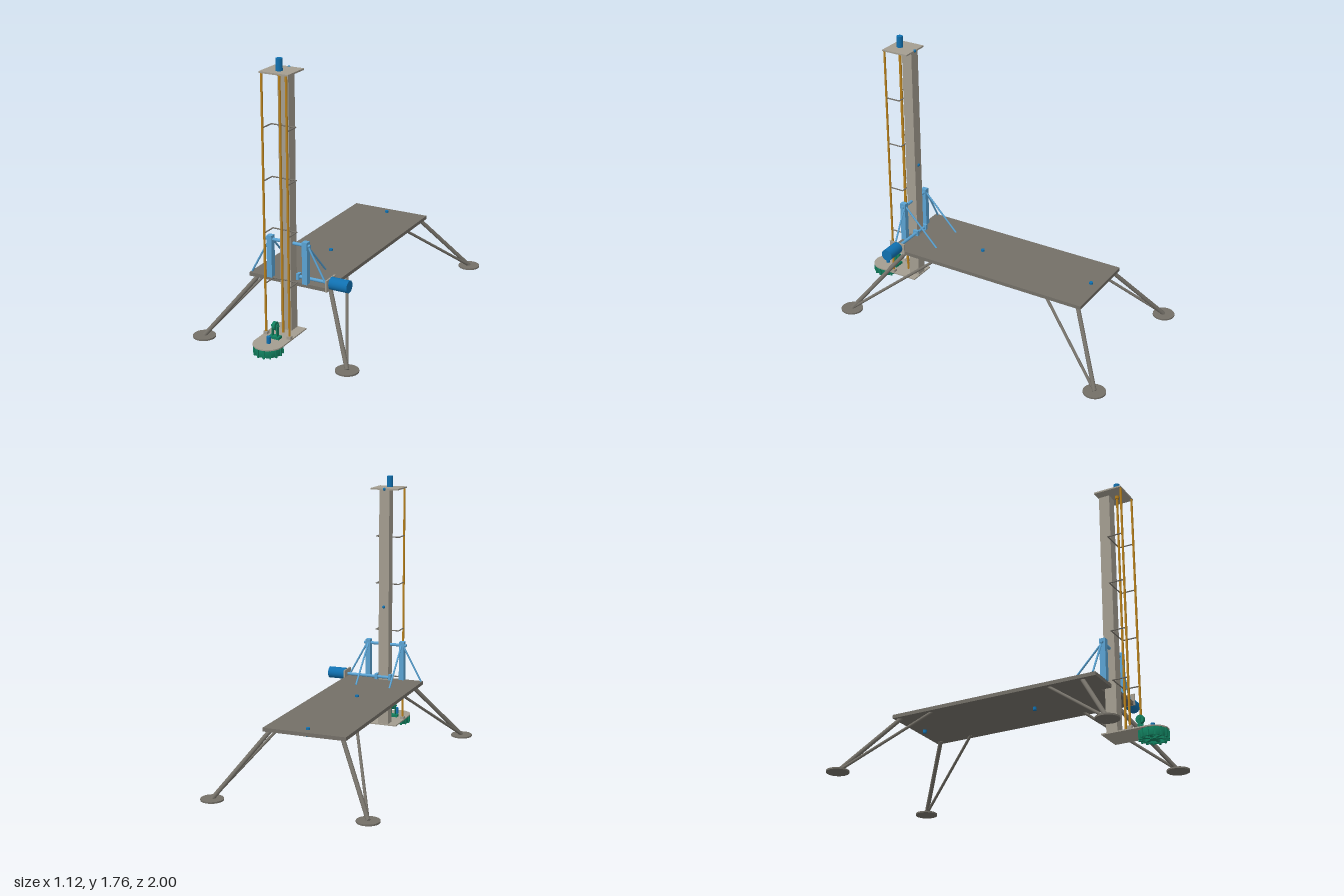
import * as THREE from 'three';

const material = (color) => new THREE.MeshStandardMaterial({ color, side: THREE.DoubleSide });

export function createModel() {
  const model = new THREE.Group();
  const dark = material(0x736f67), grey = material(0xa39d90), amber = material(0xb8811c);
  const blue = material(0x1070b0), sky = material(0x5aa2d2), green = material(0x11805f);
  const V = (x, y, z) => new THREE.Vector3(x, y, z);

  function add(name, geometry, mat, parent = model) {
    const mesh = new THREE.Mesh(geometry, mat);
    mesh.name = name;
    parent.add(mesh);
    return mesh;
  }
  // Box given by its minimum and maximum corners
  function box(name, a, b, mat, parent) {
    const m = add(name, new THREE.BoxGeometry(b[0] - a[0], b[1] - a[1], b[2] - a[2]), mat, parent);
    m.position.set((a[0] + b[0]) / 2, (a[1] + b[1]) / 2, (a[2] + b[2]) / 2);
    return m;
  }
  // Round bar between two points
  function bar(name, a, b, r, mat, parent, sides = 20) {
    const p = V(...a), q = V(...b), d = q.clone().sub(p);
    const m = add(name, new THREE.CylinderGeometry(r, r, d.length(), sides), mat, parent);
    m.position.copy(p).add(q).multiplyScalar(0.5);
    m.quaternion.setFromUnitVectors(V(0, 1, 0), d.normalize());
    return m;
  }
  // Flat plate: outline in x and z, with its top at the given height
  function plate(name, shape, top, depth, mat) {
    const g = new THREE.ExtrudeGeometry(shape, { depth, bevelEnabled: false, curveSegments: 24 });
    g.rotateX(Math.PI / 2);
    add(name, g, mat).position.y = top;
  }
  const outline = (pts) => new THREE.Shape(pts.map(([x, z]) => new THREE.Vector2(x, z)));

  // Deck with a slot for the mast
  plate('deck', outline([[-0.265, -0.705], [0.265, -0.705], [0.265, 0.68], [0.05, 0.68],
    [0.05, 0.615], [-0.05, 0.615], [-0.05, 0.68], [-0.265, 0.68]]), 0.403, 0.023, dark);
  for (const z of [0.145, -0.64]) bar('deckSensor', [0, 0.36, z], [0, 0.415, z], 0.012, blue);

  // Splayed legs with round feet
  const ends = [{ foot: 0.85, main: 0.58, brace: 0.36 }, { foot: -0.93, main: -0.665, brace: -0.44 }];
  for (const s of [-1, 1]) for (const e of ends) {
    const leg = new THREE.Group();
    leg.name = 'leg';
    model.add(leg);
    bar('foot', [s * 0.49, 0, e.foot], [s * 0.49, 0.01, e.foot], 0.07, dark, leg, 40);
    bar('mainStrut', [s * 0.49, 0.008, e.foot], [s * 0.228, 0.385, e.main], 0.0135, dark, leg);
    bar('braceStrut', [s * 0.49, 0.008, e.foot], [s * 0.228, 0.385, e.brace], 0.009, dark, leg);
  }

  // Mast, top plate and rounded base plate
  box('mast', [-0.035, 0.085, 0.63], [0.035, 1.68, 0.70], grey);
  box('topPlate', [-0.095, 1.68, 0.625], [0.095, 1.69, 0.805], grey);
  const base = new THREE.Shape();
  base.moveTo(-0.094, 0.625);
  base.lineTo(0.094, 0.625);
  base.lineTo(0.094, 0.905);
  base.absarc(0, 0.905, 0.094, 0, Math.PI, false);
  base.closePath();
  plate('basePlate', base, 0.09, 0.008, grey);
  for (const y of [0.9, 1.685]) {
    add('mastSensor', new THREE.SphereGeometry(0.01, 16, 12), blue).position.set(0, y, 0.628);
  }

  // Lead screw with its motor, and two guide rods
  bar('leadScrew', [0, 0.09, 0.738], [0, 1.68, 0.738], 0.007, amber);
  bar('screwCoupling', [0, 1.66, 0.738], [0, 1.68, 0.738], 0.013, amber);
  bar('liftMotor', [0, 1.69, 0.738], [0, 1.762, 0.738], 0.02, blue, model, 32);
  for (const s of [-1, 1]) {
    bar('guideRod', [s * 0.08, 0.09, 0.8], [s * 0.08, 1.68, 0.8], 0.007, amber);
    box('rodSocket', [s * 0.08 - 0.013, 0.09, 0.787], [s * 0.08 + 0.013, 0.108, 0.813], grey);
  }
  // U-shaped rod brackets along the mast
  for (const y of [0.412, 0.728, 1.045, 1.362]) {
    bar('bracketCross', [-0.08, y, 0.703], [0.08, y, 0.703], 0.004, dark);
    for (const s of [-1, 1]) bar('bracketArm', [s * 0.08, y, 0.7], [s * 0.08, y, 0.8], 0.004, dark);
  }

  // Support frame with braces to the side and to the back
  for (const s of [-1, 1]) {
    box('framePost', [s * 0.12 - 0.017, 0.4, 0.65], [s * 0.12 + 0.017, 0.665, 0.687], sky);
    bar('sideBrace', [s * 0.125, 0.645, 0.66], [s * 0.257, 0.405, 0.66], 0.006, sky);
    bar('backBrace', [s * 0.118, 0.645, 0.66], [s * 0.118, 0.4, 0.425], 0.006, sky);
  }
  bar('pivotShaft', [-0.15, 0.64, 0.667], [0.15, 0.64, 0.667], 0.01, sky);

  // Tilt drive
  bar('driveShaft', [-0.055, 0.419, 0.63], [0.27, 0.419, 0.63], 0.01, sky);
  box('motorMount', [0.257, 0.38, 0.575], [0.267, 0.452, 0.687], grey);
  bar('tiltMotor', [0.267, 0.419, 0.628], [0.387, 0.419, 0.628], 0.038, blue, model, 40);
  for (const s of [-1, 1]) {
    box('shaftBearing', [s * 0.048 - 0.009, 0.4, 0.612], [s * 0.048 + 0.009, 0.44, 0.648], sky);
  }

  // Cutter wheel: open drum, ribs, lower ring, spokes and hub
  const wheel = new THREE.Group();
  wheel.name = 'cutterWheel';
  wheel.position.set(0, 0, 0.91);
  model.add(wheel);
  const rim = [[0.072, 0.035], [0.084, 0.035], [0.084, 0.082], [0.072, 0.082], [0.072, 0.035]];
  add('rim', new THREE.LatheGeometry(rim.map(([r, y]) => new THREE.Vector2(r, y)), 48), green, wheel);
  const count = 14;
  for (let i = 0; i < count; i++) {
    const a = (i / count) * Math.PI * 2;
    const rib = box('rib', [0.07, 0.03, -0.005], [0.09, 0.083, 0.005], green, wheel);
    rib.position.set(Math.cos(a) * 0.08, 0.0565, Math.sin(a) * 0.08);
    rib.rotation.y = -a;
  }
  for (let i = 0; i < 3; i++) {
    const spoke = box('spoke', [-0.075, 0.038, -0.008], [0.075, 0.054, 0.008], green, wheel);
    spoke.rotation.y = (i * Math.PI) / 3;
  }
  bar('web', [0, 0.06, 0], [0, 0.08, 0], 0.075, green, wheel, 48);
  bar('hub', [0, 0.032, 0], [0, 0.082, 0], 0.025, green, wheel);
  bar('cutterMotor', [0, 0.09, 0.905], [0, 0.132, 0.905], 0.013, blue);

  // Small pulley on a stand above the base plate
  bar('pulley', [-0.01, 0.17, 0.83], [0.01, 0.17, 0.83], 0.026, green, model, 32);
  bar('pulleyAxle', [-0.026, 0.17, 0.83], [0.026, 0.17, 0.83], 0.006, green);
  for (const s of [-1, 1]) {
    box('pulleyStand', [s * 0.016 - 0.003, 0.09, 0.82], [s * 0.016 + 0.003, 0.18, 0.84], green);
  }
  box('standFoot', [-0.034, 0.09, 0.812], [0.034, 0.106, 0.848], green);

  return model;
}
